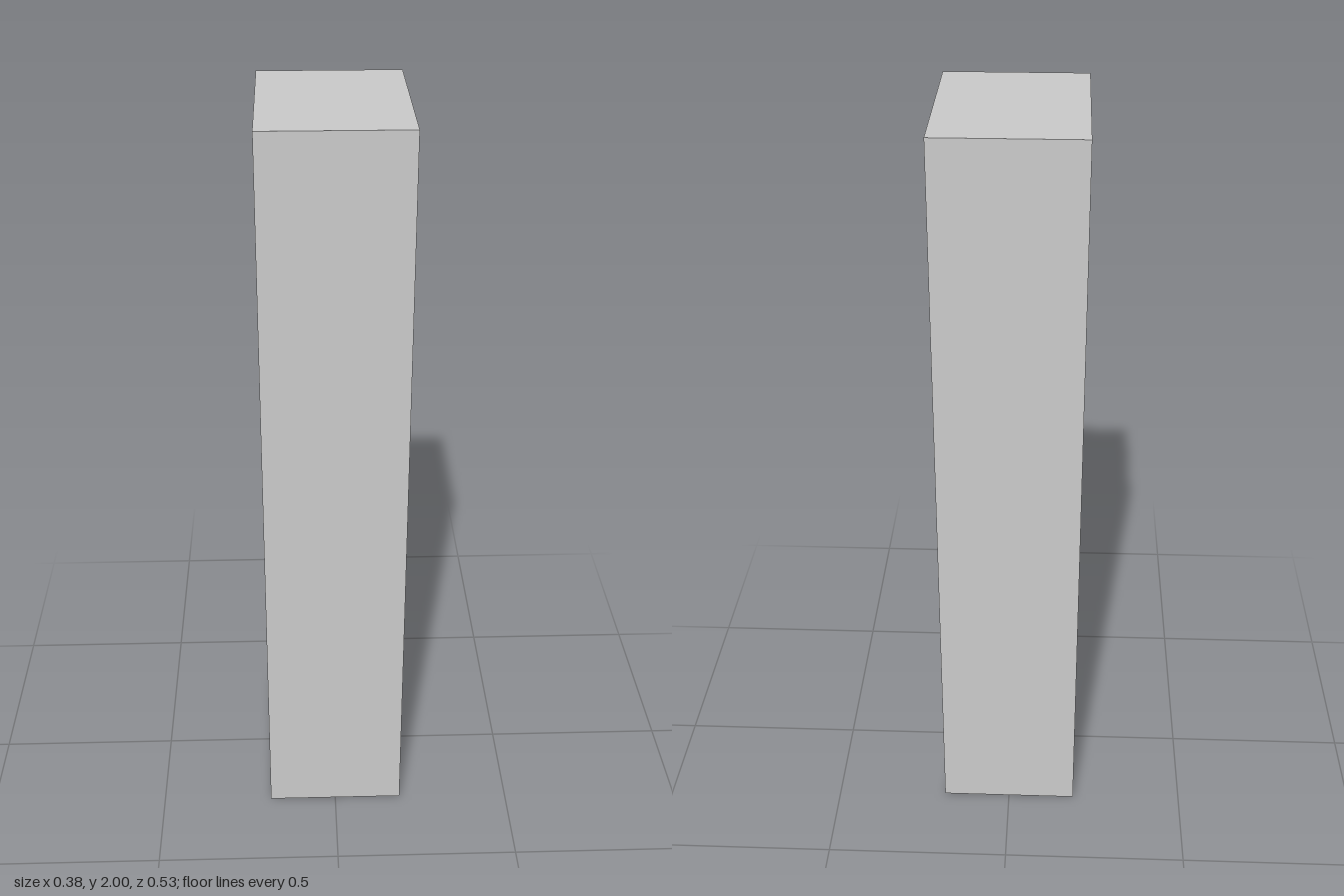
import * as THREE from 'three';

// Overall half sizes and the shared extents of the compartments
const HX = 0.189, HZ = 0.264, H = 2;
const BACK_X = 0.155, Z0 = -0.234, Z1 = 0.238;
const BAYS = [[0.047, 0.359], [0.45, 0.757], [0.842, 1.164], [1.244, 1.561], [1.658, 1.948]];

const material = new THREE.MeshStandardMaterial({ color: 0xcccccc, side: THREE.DoubleSide });

// Thin sheet of w x h, turned about x (rx) and y (ry)
function sheet(name, w, h, [x, y, z], rx = 0, ry = 0) {
  const mesh = new THREE.Mesh(new THREE.PlaneGeometry(w, h), material);
  mesh.name = name;
  mesh.position.set(x, y, z);
  mesh.rotation.set(rx, ry, 0);
  return mesh;
}

// Rectangle corners in (z, y)
function corners(z0, z1, y0, y1) {
  return [[z0, y0], [z1, y0], [z1, y1], [z0, y1]].map(([z, y]) => new THREE.Vector2(z, y));
}

// Face frame on the -x side, with one opening per bay
function faceFrame() {
  const shape = new THREE.Shape(corners(-HZ, HZ, 0, H));
  for (const [y0, y1] of BAYS) shape.holes.push(new THREE.Path(corners(Z0, Z1, y0, y1)));
  const mesh = new THREE.Mesh(new THREE.ShapeGeometry(shape), material);
  mesh.name = 'faceFrame';
  mesh.rotation.y = -Math.PI / 2;
  mesh.position.x = -HX;
  return mesh;
}

// Open-fronted box set into the frame
function compartment(y0, y1) {
  const bay = new THREE.Group();
  bay.name = 'compartment';
  const depth = BACK_X + HX, height = y1 - y0, width = Z1 - Z0;
  const cx = (BACK_X - HX) / 2, cy = (y0 + y1) / 2, cz = (Z0 + Z1) / 2;
  bay.add(
    sheet('shelf', depth, width, [cx, y0, cz], -Math.PI / 2),
    sheet('ceiling', depth, width, [cx, y1, cz], Math.PI / 2),
    sheet('sideWall', depth, height, [cx, cy, Z0]),
    sheet('sideWall', depth, height, [cx, cy, Z1], 0, Math.PI),
    sheet('backPanel', width, height, [BACK_X, cy, cz], 0, -Math.PI / 2),
  );
  return bay;
}

export function createModel() {
  const model = new THREE.Group();
  model.name = 'bookcase';
  // Outer shell, open underneath and on the +x side
  model.add(
    sheet('frontSide', 2 * HX, H, [0, H / 2, HZ]),
    sheet('rearSide', 2 * HX, H, [0, H / 2, -HZ], 0, Math.PI),
    sheet('top', 2 * HX, 2 * HZ, [0, H, 0], -Math.PI / 2),
    faceFrame(),
  );
  for (const [y0, y1] of BAYS) model.add(compartment(y0, y1));
  return model;
}
